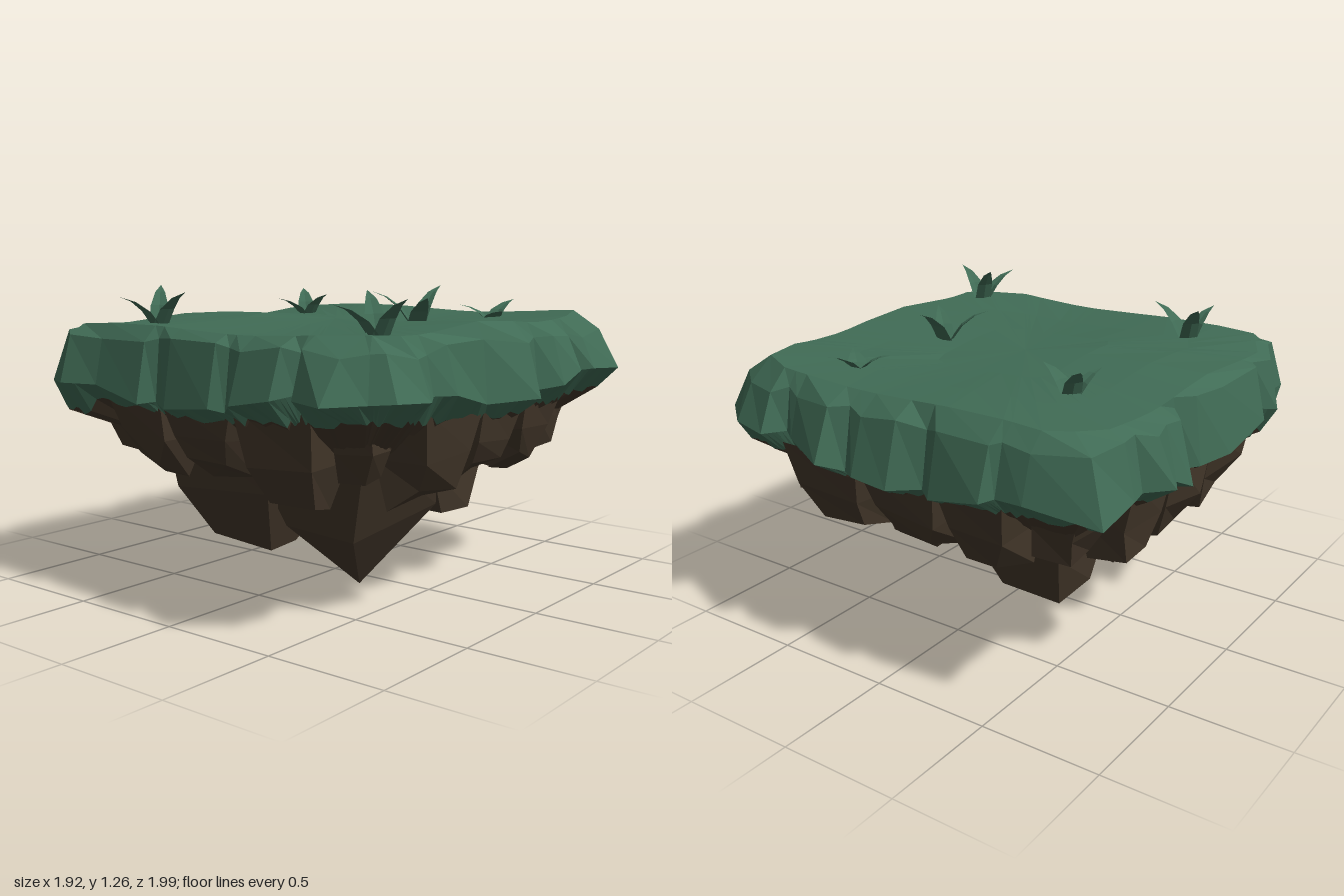
import * as THREE from 'three';

const grass = new THREE.MeshStandardMaterial({ color: 0x406b55 });
grass.name = 'mossGreen';
const blade = new THREE.MeshStandardMaterial({ color: 0x406b55, side: THREE.DoubleSide });
blade.name = 'leafGreen';
const earth = new THREE.MeshStandardMaterial({ color: 0x43372a });
earth.name = 'earthBrown';

// Repeatable noise in -1..1
const noise = (n) => {
  const s = Math.sin(n * 127.1 + 31.7) * 43758.5453;
  return (s - Math.floor(s)) * 2 - 1;
};
const { lerp, clamp, smoothstep } = THREE.MathUtils;
const mix = (a, b, t) => a.map((v, i) => lerp(v, b[i], t));

// Faceted skin over cross-sections listed from top to bottom
function loft(name, rings, material, closed = true) {
  const pos = [];
  const same = (a, b) => a.every((v, i) => Math.abs(v - b[i]) < 1e-6);
  const tri = (a, b, c) => {
    if (!same(a, b) && !same(b, c) && !same(a, c)) pos.push(...a, ...b, ...c);
  };
  for (let r = 0; r < rings.length - 1; r++) {
    const a = rings[r], b = rings[r + 1], n = a.length;
    for (let i = 0; i < (closed ? n : n - 1); i++) {
      const j = (i + 1) % n;
      tri(a[i], a[j], b[i]);
      tri(a[j], b[j], b[i]);
    }
  }
  const g = new THREE.BufferGeometry();
  g.setAttribute('position', new THREE.Float32BufferAttribute(pos, 3));
  g.computeVertexNormals();
  const mesh = new THREE.Mesh(g, material);
  mesh.name = name;
  return mesh;
}

// Widest scalloped outline (x, z), starting at the back left corner
const OUTLINE = [
  [-.92, -.88], [-.62, -.92], [-.5, -.91], [-.46, -.955], [-.22, -.935], [-.16, -.89], [-.05, -.97], [.12, -.965],
  [.2, -.91], [.27, -1], [.48, -.91], [.54, -.87], [.6, -.955], [.78, -.91], [.95, -.77],
  [.955, -.53], [.88, -.46], [.96, -.4], [.95, -.28], [.88, -.19], [.955, -.08], [.87, .18], [.94, .49],
  [.89, .57], [.95, .67], [.93, .84], [.84, .88], [.72, .99], [.56, .94], [.53, .88], [.47, .955], [.28, .955],
  [.19, .88], [.14, .92], [-.1, .91], [-.19, .865], [-.24, .92], [-.5, .9], [-.67, .94], [-.79, .88],
  [-.79, .81], [-.89, .61], [-.82, .51], [-.9, .45], [-.9, .13], [-.86, -.05], [-.79, -.15], [-.93, -.25],
  [-.9, -.33], [-.965, -.45], [-.87, -.53], [-.89, -.62],
];
const topY = (x, z) => 1.104 + .014 * Math.sin(z * 7 + .6) + .012 * Math.cos(x * 5 + 2) + .01 * x;

// Soft rolling slab with a bevelled rim and a ragged hanging edge
function buildGround(group) {
  // The rim hangs lowest in the middle of each side
  const wide = OUTLINE.map(([x, z], i) => {
    const side = Math.min(Math.abs(x), Math.abs(z));
    return [x, .82 + .06 * smoothstep(side, .18, .42) + .025 * x + .015 * noise(i), z];
  });
  const rim = OUTLINE.map(([x, z]) => {
    const cut = Math.abs(x) > .7 && Math.abs(z) > .7 ? .07 : 0;
    const rx = clamp(x, -.78 + cut, .82 - cut), rz = clamp(z, -.8 + cut, .81 - cut);
    return [rx, topY(rx, rz), rz];
  });
  const shoulder = rim.map((p, i) => {
    const q = mix(p, wide[i], .56);
    q[1] = 1.055 + .02 * noise(i + 90);
    return q;
  });
  const shrink = (s) => rim.map(([x, , z]) => [x * s, topY(x * s, z * s), z * s]);
  const centre = rim.map(() => [0, topY(0, 0), 0]);
  group.add(loft('grassTop', [centre, shrink(.35), shrink(.7), rim, shoulder, wide], grass));

  const edge = [], fringe = [];
  wide.forEach((p, i) => {
    const q = wide[(i + 1) % wide.length];
    for (let k = 0; k < 5; k++) {
      const w = mix(p, q, k / 5), id = i * 5 + k;
      const corner = Math.min(Math.abs(w[0]), Math.abs(w[2]));
      const y = .765 + .07 * corner + .016 * noise(id) - (w[0] < -.6 && w[2] > .5 ? .07 : 0);
      edge.push(w);
      fringe.push([lerp(clamp(w[0], -.77, .79), w[0], .4), Math.min(y, w[1] - .015), lerp(clamp(w[2], -.8, .79), w[2], .4)]);
    }
  });
  group.add(loft('grassFringe', [edge, fringe], grass));
  const level = (s, y) => fringe.map(([x, , z]) => [clamp(x, -.8, .8) * s, y, clamp(z, -.8, .8) * s]);
  group.add(loft('earthCore', [fringe, level(.8, .65), level(.5, .47), level(0, .42)], earth));
}

// Tapering rock whose foot rises towards the edge: rectangles are [x0, x1, z0, z1]
function rock(name, top, topH, bottom, bottomH, seed, bulge, midT = .5) {
  const ring = ([x0, x1, z0, z1], y, j, s, tilt) => [[x0, z0], [x1, z0], [x1, z1], [x0, z1]].map(([x, z], i) => {
    const rise = tilt * Math.max(0, Math.abs(x) - .64, Math.abs(z) - .64);
    return [x + j * noise(seed + i + s), y + rise + j * noise(seed + i + s + 7), z + j * noise(seed + i + s + 13)];
  });
  const low = ring(bottom, bottomH, .03, 20, .6);
  const mid = ring(mix(top, bottom, bulge), lerp(topH, bottomH, midT), .025, 40, 0);
  const c = [0, 1, 2].map((k) => low.reduce((s, p) => s + p[k] / 4, 0));
  return loft(name, [ring(top, topH, 0, 0, 0), mid, low, low.map(() => c)], earth);
}

function buildRocks(group) {
  // Outer teeth around the edge, one per scallop; corner teeth are drawn in
  const xs = [-.81, -.5, -.19, .19, .57, .85], zs = [-.87, -.47, -.16, .16, .55, .85];
  const depth = [
    [.55, .46, .47, .44, .55],
    [.45, 0, 0, 0, .49],
    [.42, 0, 0, 0, .5],
    [.45, 0, 0, 0, .46],
    [.56, .5, .53, .42, .57],
  ];
  depth.forEach((row, r) => row.forEach((y, c) => {
    if (!y) return;
    const corner = r % 4 === 0 && c % 4 === 0;
    const top = [xs[c], xs[c + 1], zs[r], zs[r + 1]].map((v) => (corner ? clamp(v, -.75, .75) : v));
    const pull = corner ? .84 : .98;
    const x = (xs[c] + xs[c + 1]) / 2 * pull, z = (zs[r] + zs[r + 1]) / 2 * pull;
    const w = (xs[c + 1] - xs[c]) * .24, d = (zs[r + 1] - zs[r]) * .24;
    group.add(rock('outerRock', top, .84, [x - w, x + w, z - d, z + d], y, r * 50 + c * 9, .42));
  }));
  // Larger hanging rocks in the middle
  group.add(rock('frontLeftRock', [-.5, .06, -.05, .54], .68, [-.38, -.05, .2, .38], .16, 301, .3));
  group.add(rock('backLeftRock', [-.5, .04, -.53, .06], .68, [-.42, -.14, -.34, -.17], .2, 322, .5));
  group.add(rock('backRightRock', [.02, .54, -.53, .04], .68, [.2, .44, -.34, -.17], .27, 343, .5));
  group.add(loft('centralSpike', [
    [[-.08, .68, -.22], [.54, .68, -.22], [.56, .68, .52], [-.08, .68, .52]],
    [[.0, .24, -.14], [.43, .33, -.15], [.38, .25, .36], [.03, .27, .36]],
    [0, 1, 2, 3].map(() => [.22, 0, .11]),
  ], earth));
}

// Three curved, creased leaves: base (x, z), height, then the leaf tips (x, z)
const TUFTS = [
  [-.45, -.35, 1.21, [[-.54, -.43], [-.31, -.33], [-.5, -.2]]],
  [.39, -.04, 1.25, [[.385, -.23], [.23, .05], [.53, .08]]],
  [.43, -.56, 1.175, [[.45, -.73], [.3, -.51], [.55, -.46]]],
  [-.45, .6, 1.25, [[-.55, .49], [-.27, .62], [-.49, .77]]],
  [.71, .65, 1.26, [[.6, .57], [.87, .7], [.65, .83]]],
];
function buildTuft([x, z, h, tips]) {
  const tuft = new THREE.Group();
  tuft.name = 'grassTuft';
  const y0 = topY(x, z) - .015;
  tips.forEach(([tx, tz], n) => {
    const len = Math.hypot(tx - x, tz - z), dx = (tx - x) / len, dz = (tz - z) / len;
    const top = h - n * .02;
    const section = (out, up, half) => [-1, 0, 1].map((s) => {
      const o = len * out + (s ? 0 : half * .3);
      return [x + dx * o - dz * half * s, lerp(y0, top, up), z + dz * o + dx * half * s];
    });
    const rings = [section(1, 1, 0), section(.66, .84, .02), section(.33, .52, .036), section(.04, 0, .04)];
    tuft.add(loft('leaf', rings, blade, false));
  });
  return tuft;
}

export function createModel() {
  const model = new THREE.Group();
  model.name = 'floatingIsland';
  buildGround(model);
  buildRocks(model);
  TUFTS.forEach((t) => model.add(buildTuft(t)));
  return model;
}
